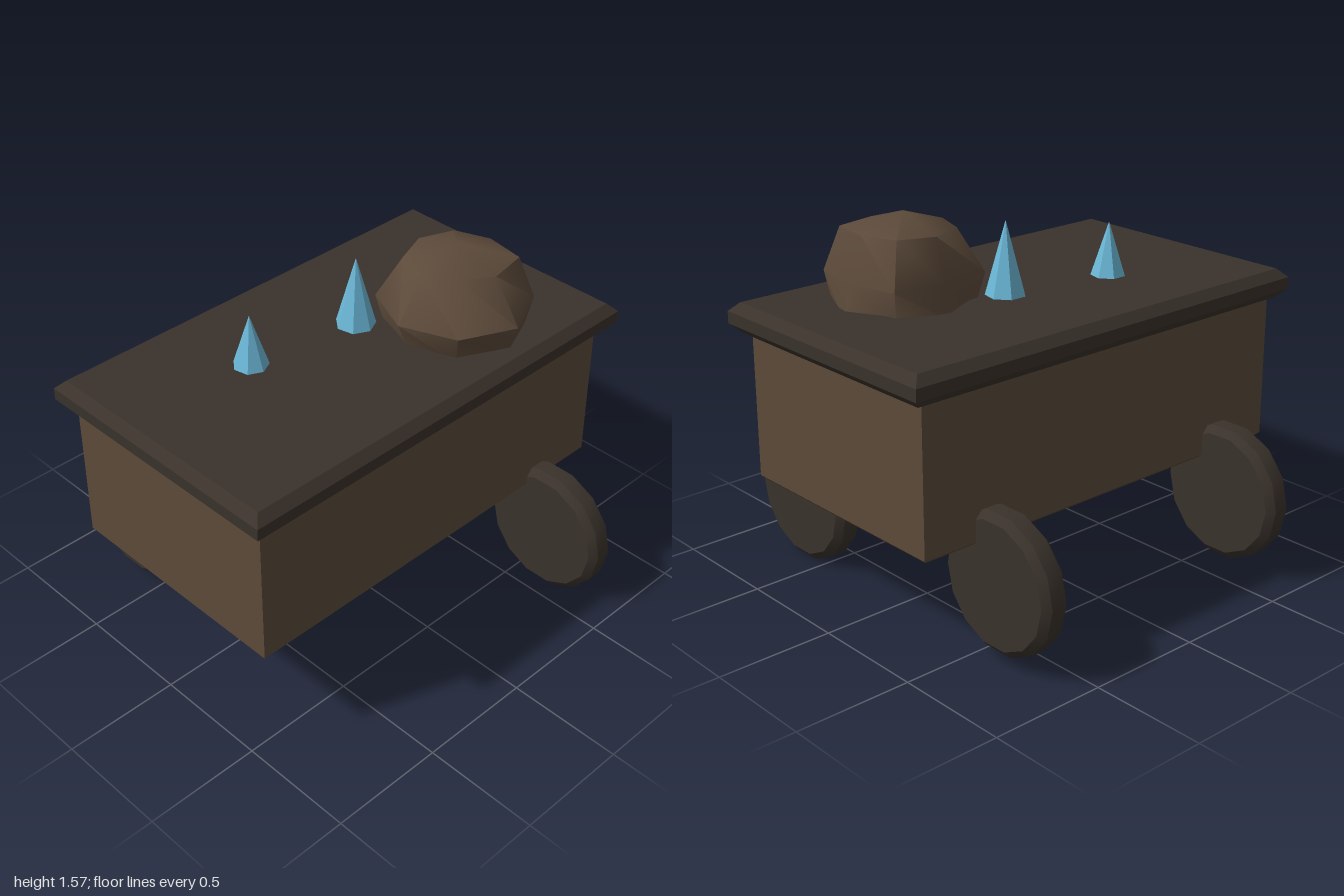
import * as THREE from 'three';
import { toCreasedNormals } from 'three/addons/utils/BufferGeometryUtils.js';

const material = (name, color) => {
  const m = new THREE.MeshStandardMaterial({ color });
  m.name = name;
  return m;
};

// Box whose top and bottom edges are chamfered, placed by its bounds
function chamferBox(x0, x1, y0, y1, z0, z1, c) {
  const s = new THREE.Shape();
  s.moveTo(x0 + c, -z1 + c).lineTo(x1 - c, -z1 + c).lineTo(x1 - c, -z0 - c).lineTo(x0 + c, -z0 - c);
  const g = new THREE.ExtrudeGeometry(s, {
    depth: y1 - y0 - 2 * c, bevelThickness: c, bevelSize: c, bevelSegments: 1,
  });
  return g.rotateX(-Math.PI / 2).translate(0, y0 + c, 0);
}

// Chamfered disc with its axle along x
function wheelGeometry() {
  const profile = [[0, -0.062], [0.262, -0.062], [0.293, -0.034], [0.293, 0.034], [0.262, 0.062], [0, 0.062]];
  const g = new THREE.LatheGeometry(profile.map(p => new THREE.Vector2(...p)), 14);
  return toCreasedNormals(g.rotateZ(Math.PI / 2), 0.6);
}

// Eight-sided lump: each ring has its own uneven radii, starting at +z and turning to +x
function rockGeometry() {
  const rings = [
    [1.19, [0.295, 0.29, 0.30, 0.28, 0.295, 0.28, 0.265, 0.28]],
    [1.33, [0.34, 0.32, 0.27, 0.31, 0.26, 0.32, 0.325, 0.33]],
    [1.51, [0.21, 0.25, 0.205, 0.21, 0.205, 0.21, 0.20, 0.18]],
    [1.575, [0, 0, 0, 0, 0, 0, 0, 0]],
  ];
  const g = new THREE.LatheGeometry(rings.map(([y], i) => new THREE.Vector2(i < 3 ? 1 : 0, y)), 8);
  const p = g.attributes.position;
  for (let i = 0; i < p.count; i++) {
    const r = rings[i % 4][1][Math.floor(i / 4) % 8];
    p.setX(i, p.getX(i) * r);
    p.setZ(i, p.getZ(i) * r);
  }
  return toCreasedNormals(g, 0.9);
}

export function createModel() {
  const group = new THREE.Group();
  const brown = material('brown wood', 0x5c4a3a);
  const dark = material('dark wood', 0x3a322b);
  const blue = material('blue crystal', 0x6bb8d8);

  const add = (name, geometry, mat, x = 0, y = 0, z = 0) => {
    const mesh = new THREE.Mesh(geometry, mat);
    mesh.name = name;
    mesh.position.set(x, y, z);
    group.add(mesh);
    return mesh;
  };

  // Cart box and overhanging lid
  add('body', chamferBox(-0.94, 0.93, 0.47, 1.14, -0.53, 0.53, 0.015), brown);
  add('lid', chamferBox(-1, 1, 1.10, 1.225, -0.59, 0.59, 0.037), dark);

  // Three wheels, the front one slightly lower
  const wheel = wheelGeometry();
  add('frontLeftWheel', wheel, dark, 0.622, 0.286, 0.628);
  add('backLeftWheel', wheel, dark, 0.622, 0.338, -0.625);
  add('backRightWheel', wheel, dark, -0.628, 0.338, -0.625);

  // Rock on the lid
  add('rock', rockGeometry(), brown, 0.435, 0, 0.183);

  // Crystal spikes: x, z, radius, height
  [[-0.38, -0.14, 0.077, 0.235], [0.12, -0.065, 0.087, 0.315]].forEach(([x, z, r, h], i) => {
    const g = new THREE.ConeGeometry(r, h, 7).toNonIndexed();
    g.computeVertexNormals();
    add('crystal' + (i + 1), g, blue, x, 1.215 + h / 2, z);
  });
  return group;
}
